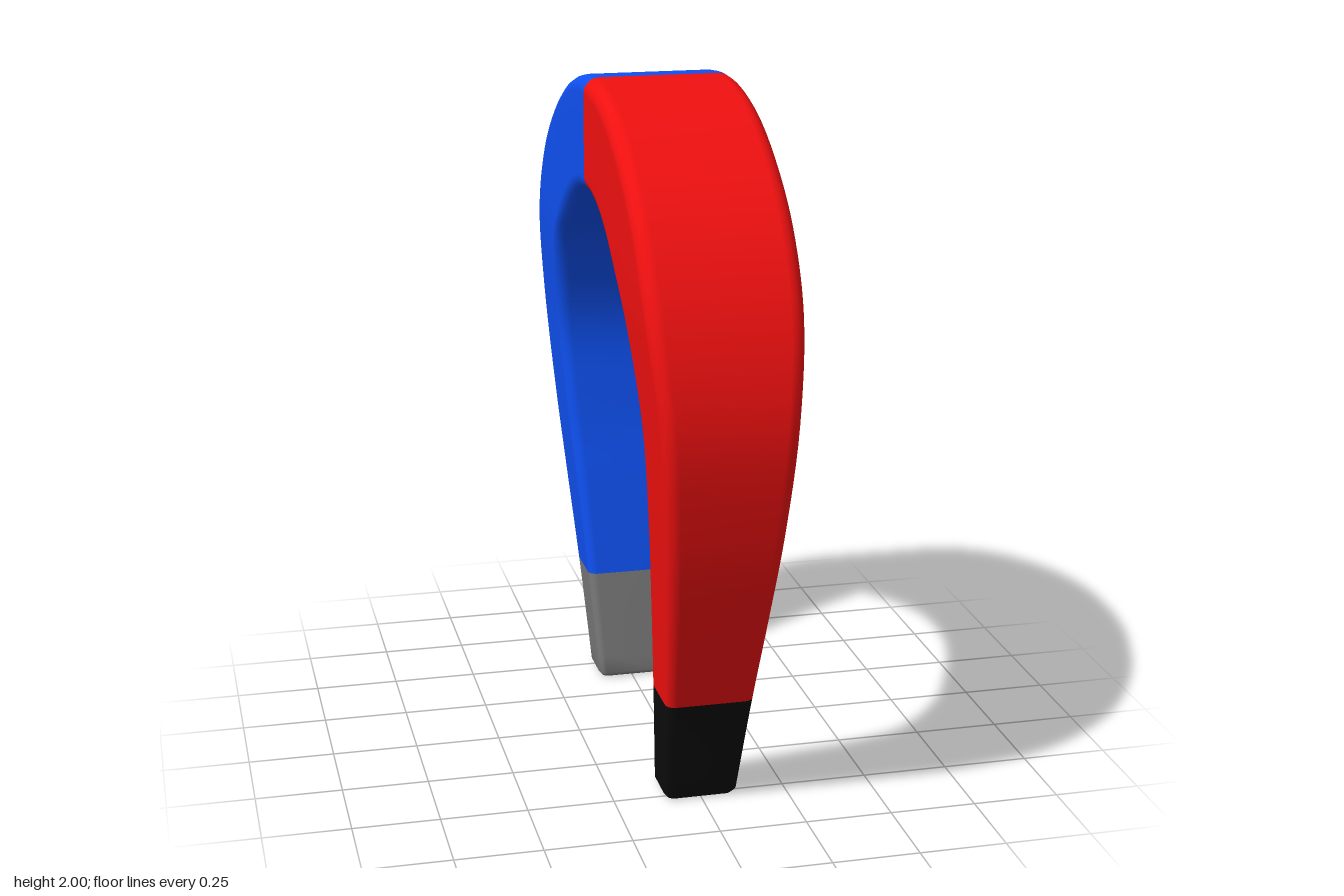
import * as THREE from 'three';

// Half of the horseshoe, from crown to tip:
// [outer z, outer y, inner z, inner y, half width]
const HALF = [
  [0, 2, 0, 1.67, 0.22],
  [0.24, 1.965, 0.13, 1.652, 0.22],
  [0.455, 1.865, 0.25, 1.6, 0.22],
  [0.655, 1.7, 0.36, 1.525, 0.22],
  [0.79, 1.48, 0.48, 1.415, 0.215],
  [0.853, 1.2, 0.575, 1.15, 0.19],
  [0.81, 0.88, 0.55, 0.86, 0.166],
  [0.73, 0.61, 0.497, 0.61, 0.146],
  [0.636, 0.334, 0.44, 0.334, 0.126],
  [0.535, 0.015, 0.377, 0.015, 0.106],
];
const STEPS = 6; // rows per span
const ARC = 4; // segments per rounded corner
const RING = 4 * (ARC + 1);

// Rounded-rectangle cross-section between an outer and an inner point
function section(outer, inner, inset = 0, y = null) {
  const centre = outer.clone().add(inner).multiplyScalar(0.5);
  const dir = outer.clone().sub(inner);
  dir.x = 0;
  const depth = dir.length() / 2 - inset;
  dir.normalize();
  const width = outer.x - inset;
  const r = Math.min(0.045, depth * 0.28);
  const points = [];
  for (let q = 0; q < 4; q++) {
    const sx = q === 0 || q === 3 ? 1 : -1;
    const sd = q < 2 ? 1 : -1;
    for (let k = 0; k <= ARC; k++) {
      const a = (q + k / ARC) * Math.PI / 2;
      const u = sx * (width - r) + r * Math.cos(a);
      const v = sd * (depth - r) + r * Math.sin(a);
      points.push(new THREE.Vector3(u, y ?? centre.y + dir.y * v, centre.z + dir.z * v));
    }
  }
  return points;
}

function geometryFrom(points, index) {
  const g = new THREE.BufferGeometry().setFromPoints(points);
  g.setIndex(index);
  g.computeVertexNormals();
  return g;
}

export function createModel() {
  const group = new THREE.Group();
  group.name = 'horseshoeMagnet';

  // Mirror the half profile into full rails running from -z tip to +z tip
  const full = [
    ...HALF.slice(1).reverse().map(([oz, oy, iz, iy, w]) => [-oz, oy, -iz, iy, w]),
    ...HALF,
  ];
  const outerRail = new THREE.CatmullRomCurve3(full.map(([z, y, , , w]) => new THREE.Vector3(w, y, z)));
  const innerRail = new THREE.CatmullRomCurve3(full.map(([, , z, y, w]) => new THREE.Vector3(w, y, z)));

  // Rows of cross-sections, with a small bevel ring at each tip
  const count = (full.length - 1) * STEPS;
  const rows = [];
  for (let i = 0; i <= count; i++) {
    rows.push(section(outerRail.getPoint(i / count), innerRail.getPoint(i / count)));
  }
  const firstRing = section(outerRail.getPoint(0), innerRail.getPoint(0), 0.012, 0);
  const lastRing = section(outerRail.getPoint(1), innerRail.getPoint(1), 0.012, 0);
  rows.unshift(firstRing);
  rows.push(lastRing);

  const indexRange = (from, to) => {
    const index = [];
    for (let i = from; i < to; i++) {
      for (let j = 0; j < RING; j++) {
        const a = i * RING + j;
        const b = i * RING + (j + 1) % RING;
        index.push(a, b, a + RING, b, b + RING, a + RING);
      }
    }
    return index;
  };

  // One continuous skin, so shading runs smoothly across the colour seams
  const last = rows.length - 1;
  const skin = geometryFrom(rows.flat(), indexRange(0, last));
  const seam = STEPS + 1;
  const middle = last / 2;
  const parts = [
    ['backTip', 0x777777, 0, seam, firstRing],
    ['backArm', 0x0f50f0, seam, middle],
    ['frontArm', 0xf01010, middle, last - seam],
    ['frontTip', 0x0c0c0c, last - seam, last, lastRing],
  ];

  for (const [name, color, from, to, capRing] of parts) {
    const material = new THREE.MeshStandardMaterial({ color });
    const geometry = new THREE.BufferGeometry();
    geometry.setAttribute('position', skin.getAttribute('position'));
    geometry.setAttribute('normal', skin.getAttribute('normal'));
    geometry.setIndex(indexRange(from, to));
    const mesh = new THREE.Mesh(geometry, material);
    mesh.name = name;
    group.add(mesh);

    // Flat pole face under each tip
    if (capRing) {
      const index = [];
      for (let j = 1; j < RING - 1; j++) {
        if (from === 0) index.push(0, j + 1, j);
        else index.push(0, j, j + 1);
      }
      const cap = new THREE.Mesh(geometryFrom(capRing, index), material);
      cap.name = name + 'Face';
      group.add(cap);
    }
  }
  return group;
}
